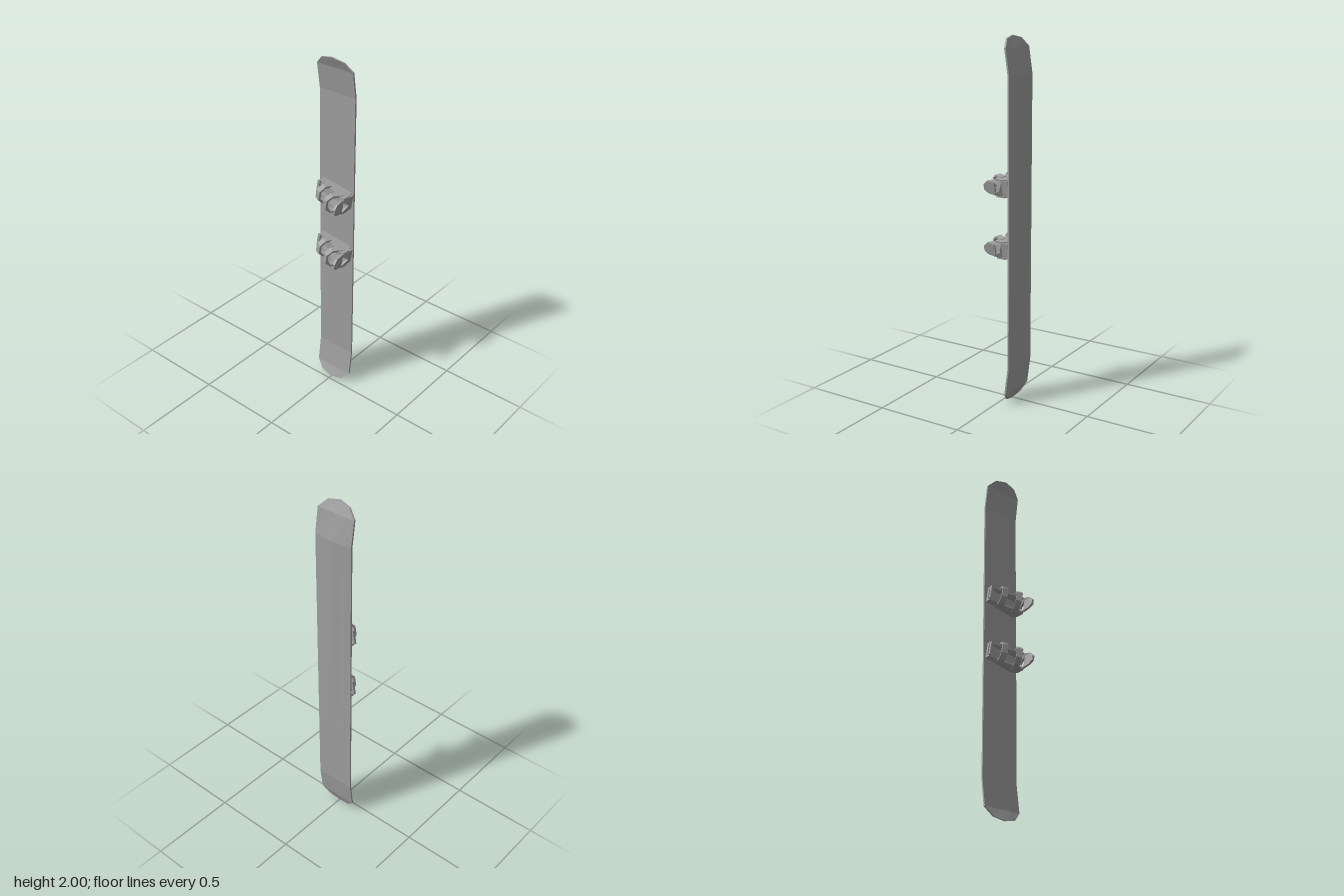
import * as THREE from 'three';

const material = new THREE.MeshStandardMaterial({ color: 0x9e9e9e, flatShading: true, side: THREE.DoubleSide });

function addMesh(parent, geometry, name) {
  const mesh = new THREE.Mesh(geometry, material);
  mesh.name = name;
  parent.add(mesh);
  return mesh;
}

// Flat polygon with an optional hole, extruded by depth and centred on it
function plate(points, depth, hole) {
  const shape = new THREE.Shape(points.map(([a, b]) => new THREE.Vector2(a, b)));
  if (hole) shape.holes.push(new THREE.Path(hole.map(([a, b]) => new THREE.Vector2(a, b))));
  return new THREE.ExtrudeGeometry(shape, { depth, bevelEnabled: false }).translate(0, 0, -depth / 2);
}

// Turns a plate drawn across the foot (y, z) so that its depth runs along x; wrap bends its sides towards the toe
function acrossFoot(geometry, wrap = 0) {
  const p = geometry.attributes.position;
  for (let i = 0; i < p.count; i++) {
    const [a, b, d] = [p.getX(i), p.getY(i), p.getZ(i)];
    p.setXYZ(i, d - wrap * a * a, a, b);
  }
  geometry.computeVertexNormals();
  return geometry;
}

// Board: flat front, slightly keeled back, upturned rounded ends
function boardGeometry() {
  const W = 0.1145, M = 0.07;
  const wide = [-W, -M, 0, M, W], tip = [-M, -M, 0, M, M];
  const row = (y, front, back, keel) => ({
    x: wide, y: wide.map(() => y), front: wide.map(() => front),
    back: wide.map(x => back - keel * (1 - Math.abs(x) / W)),
  });
  const end = (side, middle) => ({
    x: tip, y: [side, side, middle, side, side],
    front: [-0.028, -0.028, -0.02, -0.028, -0.028], back: [-0.038, -0.038, -0.03, -0.038, -0.038],
  });
  const rows = [
    end(0.018, 0.004), row(0.065, -0.045, -0.055, 0), row(0.21, -0.065, -0.074, 0),
    row(1.8, -0.067, -0.077, 0.008), row(1.94, -0.046, -0.056, 0.001), end(1.985, 2),
  ];
  const positions = [], index = [], n = 10;
  rows.forEach(r => {
    for (let i = 0; i < 5; i++) positions.push(r.x[i], r.y[i], r.front[i]);
    for (let i = 4; i >= 0; i--) positions.push(r.x[i], r.y[i], r.back[i]);
  });
  for (let r = 0; r < rows.length - 1; r++) {
    for (let i = 0; i < n; i++) {
      const a = r * n + i, b = r * n + (i + 1) % n;
      index.push(a, b, b + n, a, b + n, a + n);
    }
  }
  const top = (rows.length - 1) * n;
  for (let j = 0; j < 4; j++) {
    const [a, b, c, d] = [j, j + 1, 8 - j, 9 - j];
    index.push(a, c, b, a, d, c);
    index.push(top + a, top + b, top + c, top + a, top + c, top + d);
  }
  const geometry = new THREE.BufferGeometry();
  geometry.setAttribute('position', new THREE.Float32BufferAttribute(positions, 3));
  geometry.setIndex(index);
  geometry.computeVertexNormals();
  return geometry;
}

// Faceted arch over the foot, tilted towards the toe
function strapGeometry(half, base, crown, tilt) {
  const t = 0.011;
  const arch = (w, top) => [[w, base], [w, crown - 0.032], [w * 0.5, top], [-w * 0.5, top], [-w, crown - 0.032], [-w, base]];
  const points = [...arch(half, crown), ...arch(half - t, crown - t).reverse()];
  return acrossFoot(plate(points, 0.033)).rotateY(-tilt);
}

// Binding in its own frame: toe towards -x, heel towards +x, z away from the board
function createBinding() {
  const binding = new THREE.Group();
  addMesh(binding, new THREE.BoxGeometry(0.19, 0.08, 0.016), 'basePlate').position.set(-0.005, 0, -0.061);

  // Side rails rising to the heel, closer together at the toe
  const rail = [[-0.1, -0.069], [0.09, -0.069], [0.106, -0.035], [0.104, 0.012], [0.07, 0.012], [-0.02, -0.02], [-0.1, -0.036]];
  for (const side of [1, -1]) {
    const mesh = addMesh(binding, plate(rail, 0.01).rotateX(Math.PI / 2), side > 0 ? 'upperSideRail' : 'lowerSideRail');
    mesh.position.y = side * 0.043;
    mesh.rotation.z = side * 0.03;
  }

  // Toe bar and heel cup closing the rails
  addMesh(binding, new THREE.BoxGeometry(0.014, 0.08, 0.012), 'toeBar').position.set(-0.1, 0, -0.031);
  addMesh(binding, new THREE.BoxGeometry(0.014, 0.085, 0.04), 'heelCup').position.set(0.101, 0, -0.043);

  // Straps tilted towards the toe
  addMesh(binding, strapGeometry(0.053, -0.035, 0.034, 0.35), 'toeStrap').position.x = -0.041;
  addMesh(binding, strapGeometry(0.053, -0.02, 0.071, 0.5), 'ankleStrap').position.x = 0.058;

  // Tapered highback wrapped around the heel, with an opening above the cup
  const outline = [[-0.043, -0.03], [0.043, -0.03], [0.043, 0.03], [0.034, 0.064], [0.014, 0.084], [-0.014, 0.084], [-0.034, 0.064], [-0.043, 0.03]];
  const opening = [[-0.03, 0.018], [0.03, 0.018], [0.006, -0.02], [-0.006, -0.02]];
  const highback = addMesh(binding, acrossFoot(plate(outline, 0.012, opening), 6), 'highback');
  highback.position.x = 0.109;
  highback.rotation.y = -0.06;
  return binding;
}

export function createModel() {
  const model = new THREE.Group();
  model.name = 'snowboard';
  addMesh(model, boardGeometry(), 'board').position.x = -0.002;
  [['frontBinding', 1.233], ['rearBinding', 0.898]].forEach(([name, y]) => {
    const binding = createBinding();
    binding.name = name;
    binding.position.y = y;
    binding.rotation.z = -0.17;
    model.add(binding);
  });
  return model;
}
